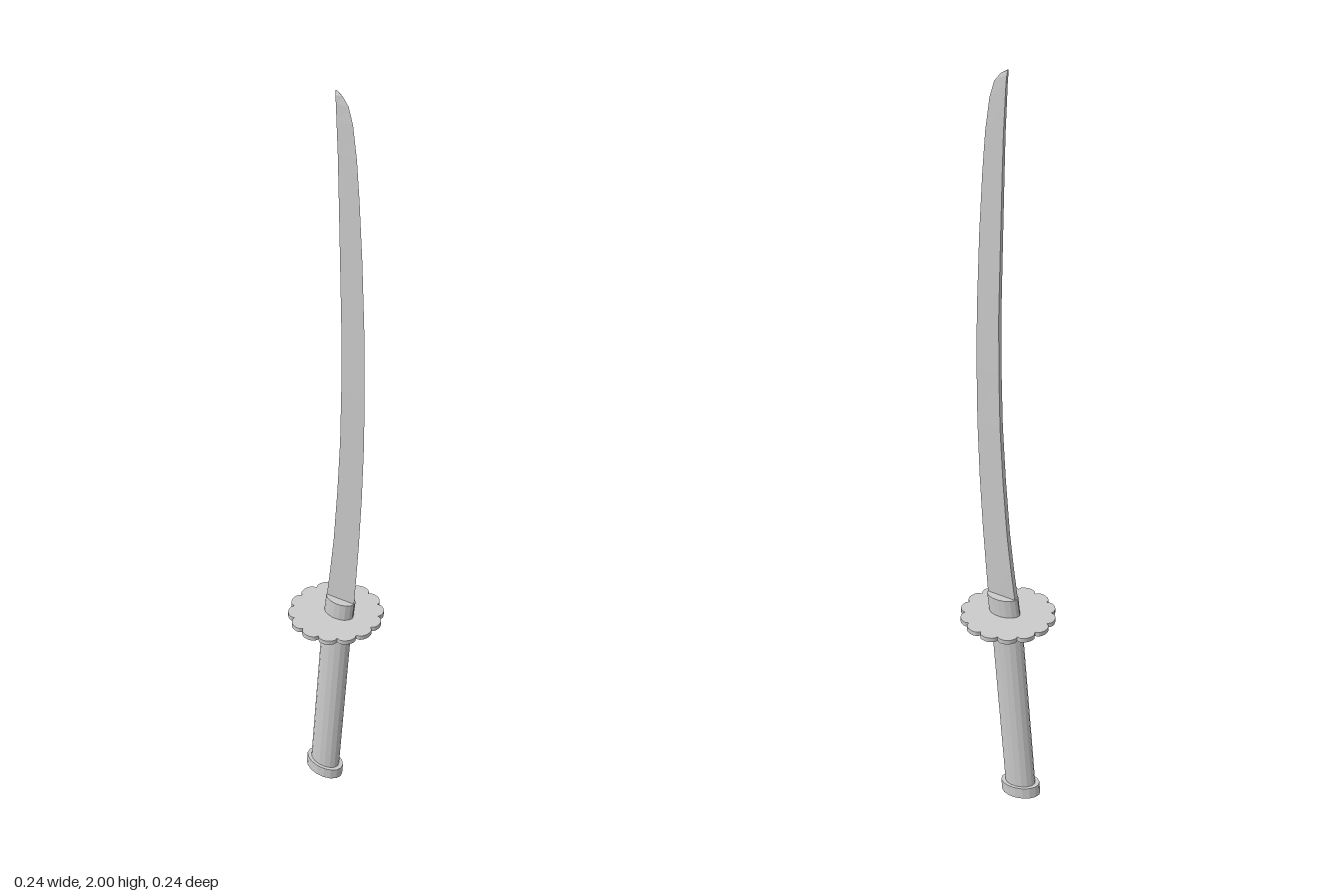
import * as THREE from 'three';

const material = new THREE.MeshStandardMaterial({ color: 0xcccccc });
const flat = new THREE.MeshStandardMaterial({ color: 0xcccccc, flatShading: true });

// Upright oval prism between two heights
function oval(name, rx, rz, y0, y1, z = 0, sides = 16) {
  const geometry = new THREE.CylinderGeometry(1, 1, y1 - y0, sides);
  geometry.scale(rx, 1, rz);
  const mesh = new THREE.Mesh(geometry, flat);
  mesh.name = name;
  mesh.position.set(0, (y0 + y1) / 2, z);
  return mesh;
}

// Curved wedge: sharp edge toward +z, flat spine toward -z
function createBlade() {
  // height, edge z, spine z, half thickness
  const stations = [
    [0.59, 0.055, -0.026, 0.008],
    [0.7, 0.063, -0.012, 0.008],
    [0.8, 0.07, -0.001, 0.008],
    [0.95, 0.078, 0.01, 0.0078],
    [1.1, 0.083, 0.018, 0.0075],
    [1.25, 0.084, 0.021, 0.0072],
    [1.4, 0.082, 0.021, 0.007],
    [1.6, 0.074, 0.016, 0.0065],
    [1.75, 0.065, 0.012, 0.006],
    [1.85, 0.057, 0.009, 0.0055],
    [1.93, 0.046, 0.005, 0.005],
    [1.97, 0.034, 0.003, 0.0045],
    [1.99, 0.018, 0.001, 0.004],
    [2.0, 0.002, 0, 0.002],
  ];
  const positions = [];
  const index = [];
  stations.forEach(([y, edge, spine, t], i) => {
    positions.push(0, y, edge, t, y, spine, -t, y, spine);
    if (i === 0) return;
    for (let k = 0; k < 3; k++) {
      const a = (i - 1) * 3 + k;
      const b = (i - 1) * 3 + ((k + 1) % 3);
      index.push(a, b, b + 3, a, b + 3, a + 3);
    }
  });
  const last = (stations.length - 1) * 3;
  index.push(0, 2, 1, last, last + 1, last + 2);
  const geometry = new THREE.BufferGeometry();
  geometry.setAttribute('position', new THREE.Float32BufferAttribute(positions, 3));
  geometry.setIndex(index);
  const mesh = new THREE.Mesh(geometry, flat);
  mesh.name = 'blade';
  return mesh;
}

// Thin disc with fourteen rounded lobes
function createGuard() {
  const lobes = 14;
  const steps = 8;
  const points = [];
  for (let i = 0; i < lobes * steps; i++) {
    const angle = (i / (lobes * steps)) * Math.PI * 2 + Math.PI / 2;
    const r = 0.109 + 0.013 * Math.sqrt(Math.sin(((i % steps) / steps) * Math.PI));
    points.push(new THREE.Vector2(Math.cos(angle) * r, Math.sin(angle) * r));
  }
  const geometry = new THREE.ExtrudeGeometry(new THREE.Shape(points), {
    depth: 0.012, bevelEnabled: false,
  });
  geometry.rotateX(-Math.PI / 2);
  const mesh = new THREE.Mesh(geometry, material);
  mesh.name = 'guard';
  mesh.position.y = 0.554;
  return mesh;
}

export function createModel() {
  const sword = new THREE.Group();
  sword.name = 'sword';
  sword.add(createBlade(), createGuard());

  // Collar leans forward while its top stays level
  const collar = oval('bladeCollar', 0.026, 0.042, 0.56, 0.615, 0.012);
  collar.geometry.applyMatrix4(new THREE.Matrix4().set(
    1, 0, 0, 0, 0, 1, 0, 0, 0, 0.12, 1, 0, 0, 0, 0, 1));
  collar.geometry.computeVertexNormals();
  sword.add(collar);

  // Grip assembly, leaning back toward the pommel
  const handle = new THREE.Group();
  handle.name = 'handle';
  handle.add(
    oval('pommel', 0.035, 0.054, 0, 0.032),
    oval('grip', 0.027, 0.042, 0.03, 0.54),
    oval('gripRing', 0.041, 0.053, 0.527, 0.554),
  );
  handle.position.set(0, 0.0045, -0.039);
  handle.rotation.x = 0.08;
  sword.add(handle);
  return sword;
}
